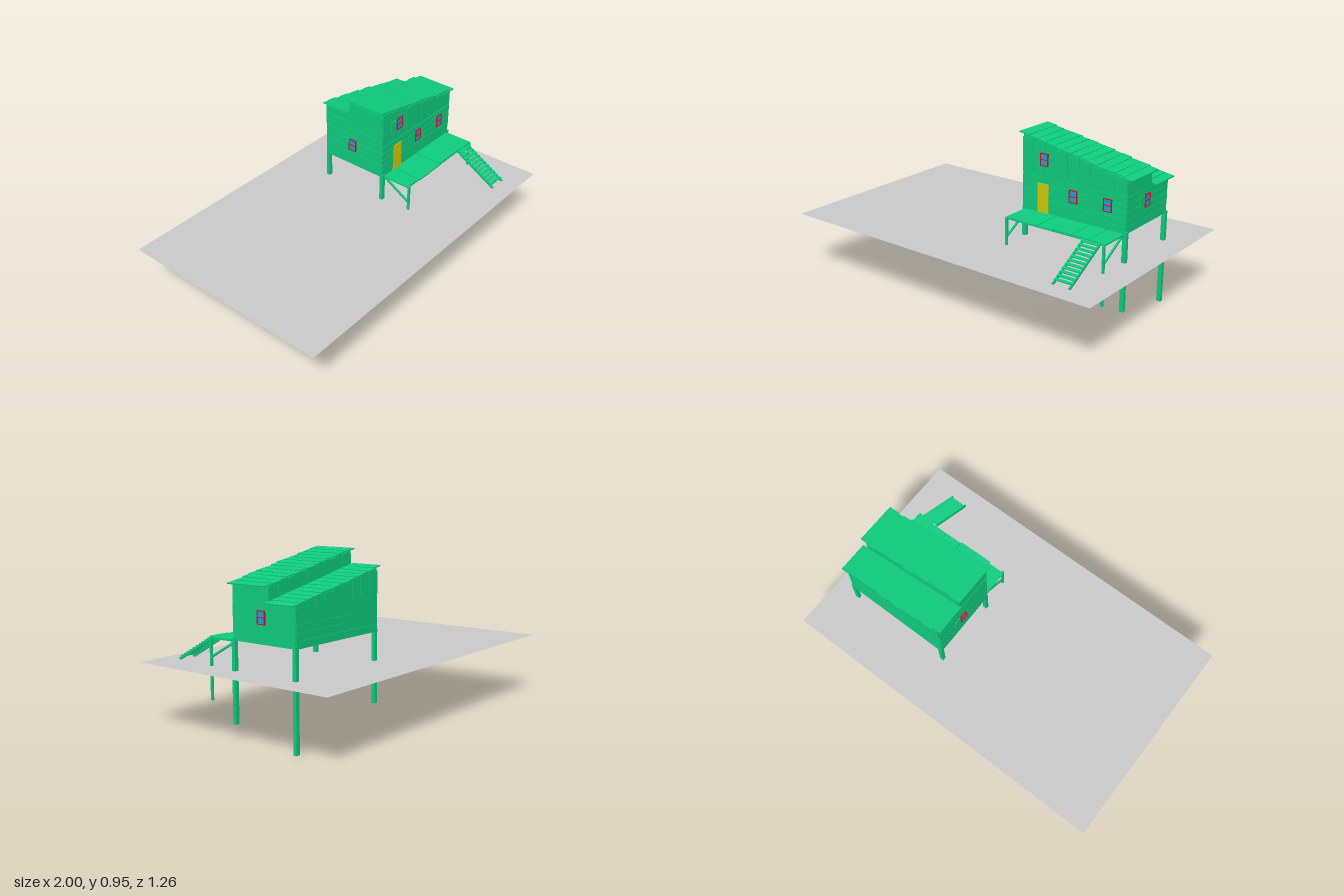
import * as THREE from 'three';

const paint = (color) => new THREE.MeshStandardMaterial({ color, flatShading: true });
const green = paint(0x0fce7f), yellow = paint(0xcccc08), blue = paint(0x1f9fd8), red = paint(0xdd1018);

// Small seeded generator for uneven boards
let seed = 7;
const rand = (a, b) => {
  seed = (seed * 16807) % 2147483647;
  return a + (b - a) * (seed / 2147483647);
};

// Box given by its limits on each axis
function slab(parent, name, x0, x1, y0, y1, z0, z1, mat = green) {
  const m = new THREE.Mesh(new THREE.BoxGeometry(x1 - x0, y1 - y0, z1 - z0), mat);
  m.position.set((x0 + x1) / 2, (y0 + y1) / 2, (z0 + z1) / 2);
  m.name = name;
  parent.add(m);
  return m;
}

// Square beam between two points that share the same x
function beam(parent, name, x, y0, z0, y1, z1, w, h) {
  const m = new THREE.Mesh(new THREE.BoxGeometry(w, h, Math.hypot(y1 - y0, z1 - z0)), green);
  m.position.set(x, (y0 + y1) / 2, (z0 + z1) / 2);
  m.rotation.x = -Math.atan2(y1 - y0, z1 - z0);
  m.name = name;
  parent.add(m);
}

function part(parent, name) {
  const g = new THREE.Group();
  g.name = name;
  parent.add(g);
  return g;
}

// House limits and roof slope
const X0 = 0.205, X1 = 0.85, BACK = -0.322, STEP = -0.15, FRONT = 0.085, FLOOR = 0.517;
const SLOPE = 0.2, HIGH = 0.932, LOW = 0.852;
const top = (x, base) => base - SLOPE * (x - X0);

// Sloped house block between two depths
function block(parent, name, base, z0, z1) {
  const s = new THREE.Shape();
  s.moveTo(X0, FLOOR);
  s.lineTo(X1, FLOOR);
  s.lineTo(X1, top(X1, base));
  s.lineTo(X0, top(X0, base));
  const m = new THREE.Mesh(new THREE.ExtrudeGeometry(s, { depth: z1 - z0, bevelEnabled: false }), green);
  m.position.z = z0;
  m.name = name;
  parent.add(m);
}

// Horizontal boards on the lower walls, vertical boards under the slope
function cladding(parent) {
  const g = part(parent, 'wallBoards');
  const rows = 5, rowH = (0.715 - FLOOR) / rows;
  for (let i = 0; i < rows; i++) {
    const y0 = FLOOR + i * rowH, y1 = y0 + rowH - 0.002;
    slab(g, 'frontBoard', X0, X1, y0, y1, FRONT, FRONT + rand(0.002, 0.005));
    slab(g, 'backBoard', X0, X1, y0, y1, BACK - rand(0.002, 0.005), BACK);
    slab(g, 'leftBoard', X1, X1 + rand(0.001, 0.004), y0, y1, BACK, FRONT);
    slab(g, 'rightBoard', X0 - rand(0.001, 0.004), X0, y0, y1, BACK, FRONT);
  }
  for (let y = 0.717; y < 0.9; y += rowH) {
    const z0 = y + rowH < LOW ? BACK : STEP;
    slab(g, 'rightUpperBoard', X0 - rand(0.001, 0.004), X0, y, y + rowH - 0.002, z0, FRONT);
  }
  slab(g, 'leftUpperBoard', X1, X1 + 0.002, 0.717, 0.795, STEP, FRONT);
  const n = 9, w = (X1 - X0) / n;
  for (let i = 0; i < n; i++) {
    const a = X0 + i * w, b = a + w - 0.002;
    slab(g, 'frontUpperBoard', a, b, rand(0.722, 0.74), top(b, HIGH), FRONT, FRONT + rand(0.003, 0.006));
    slab(g, 'stepBoard', a, b, top(b, LOW) - 0.01, top(b, HIGH), STEP - rand(0.002, 0.005), STEP);
    if (top(b, LOW) > 0.73) slab(g, 'backUpperBoard', a, b, 0.717, top(b, LOW), BACK - rand(0.002, 0.005), BACK);
  }
}

// Overlapping uneven roof boards, stepping down toward +x
function roof(parent, name, base, z0, z1) {
  const g = part(parent, name);
  const n = 13, start = 0.188, w = (0.878 - start) / n;
  for (let i = 0; i < n; i++) {
    const x = start + (i + 0.5) * w;
    const a = z0 + rand(-0.007, 0.007), b = z1 + rand(-0.007, 0.007);
    const m = new THREE.Mesh(new THREE.BoxGeometry(w * 1.2, 0.006, b - a), green);
    m.position.set(x, top(x, base) + 0.007, (a + b) / 2);
    m.rotation.set(rand(-0.01, 0.01), rand(-0.015, 0.015), -Math.atan(SLOPE) + 0.05);
    m.name = 'roofBoard';
    g.add(m);
  }
}

// Two-pane window with shutter, facing +z before turning
function windowUnit(parent, name, x, y, z, turn = 0) {
  const g = part(parent, name), w = 0.023, h = 0.033, t = 0.004;
  slab(g, 'glass', -w, w, -h, h, 0, 0.005, blue);
  for (const s of [-1, 1]) {
    slab(g, 'frameSide', s * w - t / 2, s * w + t / 2, -h, h, 0, 0.009, red);
    slab(g, 'frameRail', -w - t / 2, w + t / 2, s * h - t / 2, s * h + t / 2, 0, 0.009, red);
  }
  slab(g, 'crossbar', -w, w, -t / 2, t / 2, 0, 0.008, red);
  slab(g, 'shutter', -0.07, -0.027, -h, h, 0, 0.005);
  g.position.set(x, y, z);
  g.rotation.y = turn;
}

export function createModel() {
  const model = new THREE.Group();
  model.name = 'stiltHouse';

  // Water or ground sheet
  const sheet = new THREE.Mesh(new THREE.PlaneGeometry(2, 1.26),
    new THREE.MeshStandardMaterial({ color: 0xcccccc, side: THREE.DoubleSide }));
  sheet.rotation.x = -Math.PI / 2;
  sheet.position.y = 0.362;
  sheet.name = 'groundSheet';
  model.add(sheet);

  // House body and roofs
  const house = part(model, 'house');
  block(house, 'frontBlock', HIGH, STEP, FRONT);
  block(house, 'backBlock', LOW, BACK, STEP);
  cladding(house);
  roof(house, 'upperRoof', HIGH, -0.158, 0.093);
  roof(house, 'lowerRoof', LOW, -0.336, -0.148);

  // Door and windows
  slab(house, 'door', 0.306, 0.376, FLOOR, 0.682, FRONT, FRONT + 0.008, yellow);
  windowUnit(house, 'upperWindow', 0.347, 0.815, FRONT + 0.004);
  windowUnit(house, 'frontWindow', 0.533, 0.65, FRONT + 0.003);
  windowUnit(house, 'frontWindow', 0.742, 0.65, FRONT + 0.003);
  windowUnit(house, 'leftWindow', X1 + 0.002, 0.65, -0.107, Math.PI / 2);
  windowUnit(house, 'rightWindow', X0 - 0.002, 0.65, -0.125, -Math.PI / 2);

  // Stilts reach down to different depths
  const stilts = part(model, 'stilts');
  for (const [x, z, y] of [[0.847, -0.317, 0], [0.847, 0.082, 0.087], [0.216, -0.317, 0.132], [0.216, 0.082, 0.212]])
    slab(stilts, 'stilt', x - 0.012, x + 0.012, y, 0.53, z - 0.01, z + 0.01);

  // Porch deck with posts and braces
  const porch = part(model, 'porch');
  for (let i = 0; i < 6; i++) {
    const x = 0.22 + i * 0.1045;
    slab(porch, 'deckBoard', x, x + 0.102, 0.511, 0.518 + rand(-0.002, 0.002), 0.08, 0.26 + rand(-0.006, 0.007));
  }
  for (const x of [0.23, 0.835]) {
    slab(porch, 'porchPost', x - 0.006, x + 0.006, 0.182, 0.516, 0.256, 0.268);
    slab(porch, 'porchBeam', x - 0.005, x + 0.005, 0.506, 0.514, 0.08, 0.262);
    beam(porch, 'porchBrace', x, 0.41, 0.26, 0.508, 0.09, 0.01, 0.01);
  }
  slab(porch, 'frontBeam', 0.225, 0.84, 0.506, 0.512, 0.25, 0.258);

  // Stairs
  const stairs = part(model, 'stairs');
  for (const x of [0.716, 0.813]) beam(stairs, 'stringer', x, 0.513, 0.262, 0.363, 0.524, 0.009, 0.014);
  for (let i = 0; i < 11; i++) {
    const z = 0.278 + i * 0.0224, y = 0.514 - i * 0.0128;
    slab(stairs, 'tread', 0.714, 0.815, y - 0.005, y, z - 0.013, z + 0.011);
  }
  return model;
}
